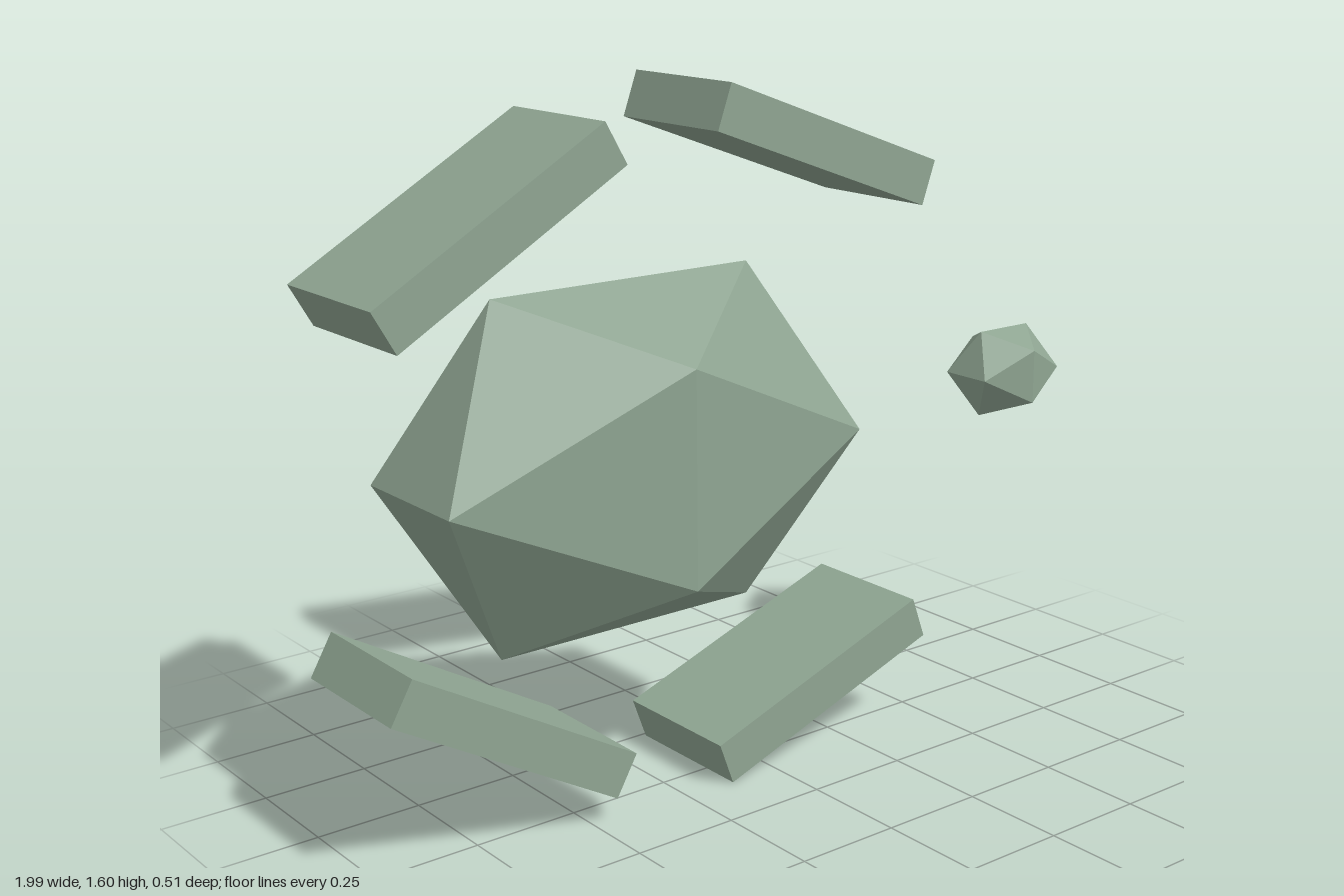
import * as THREE from 'three';

export function createModel() {
  const group = new THREE.Group();
  const stone = new THREE.MeshStandardMaterial({ color: 0x8fa592 });
  stone.name = 'sage green';
  stone.flatShading = true;

  const midY = 0.8;

  // Stretched icosahedron used for both crystals
  const crystal = (name, x, z, sx, sy, sz) => {
    const mesh = new THREE.Mesh(new THREE.IcosahedronGeometry(1, 0).scale(sx, sy, sz), stone);
    mesh.name = name;
    mesh.position.set(x, midY, z);
    group.add(mesh);
  };
  crystal('body', -0.34, 0, 0.635, 0.46, 0.297);
  crystal('head', 0.865, -0.042, 0.153, 0.127, 0.127);

  // Four tilted slabs, mirrored above and below the body
  const slabGeometry = new THREE.BoxGeometry(0.635, 0.107, 0.34);
  const slab = (name, x, rise, degrees) => {
    for (const side of [1, -1]) {
      const mesh = new THREE.Mesh(slabGeometry, stone);
      mesh.name = (side > 0 ? 'upper' : 'lower') + name;
      mesh.position.set(x, midY + side * rise, -0.07);
      mesh.rotation.z = side * THREE.MathUtils.degToRad(degrees);
      group.add(mesh);
    }
  };
  slab('RightSlab', -0.698, 0.538, 30);
  slab('LeftSlab', 0.155, 0.641, -20);

  return group;
}
